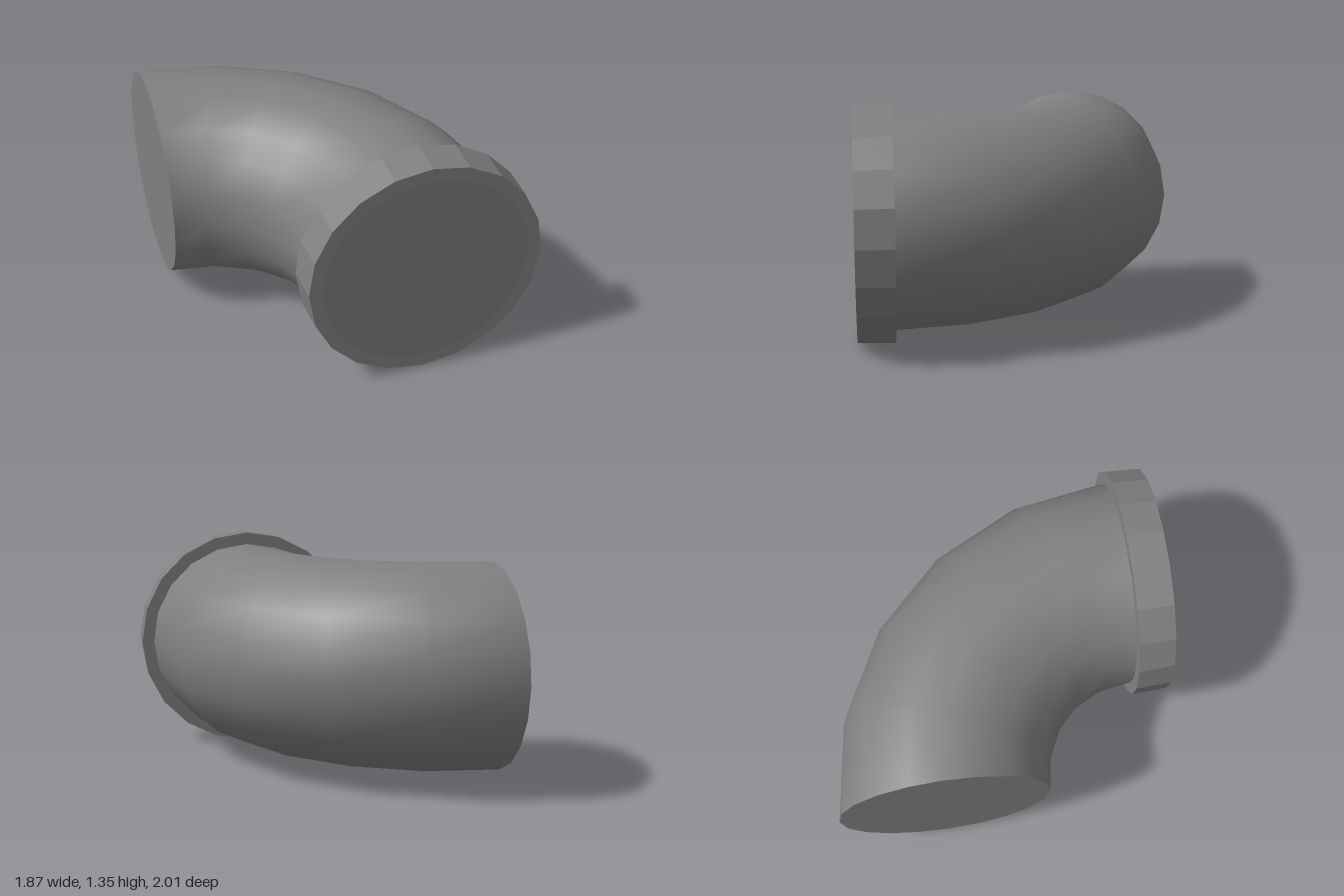
import * as THREE from 'three';

export function createModel() {
  const model = new THREE.Group();
  const pipeGrey = new THREE.MeshStandardMaterial({ color: 0x808080 });
  pipeGrey.name = 'pipe grey';
  const plugGrey = new THREE.MeshStandardMaterial({ color: 0x7b7b7b });
  plugGrey.name = 'plug grey';

  const sides = 20, bend = 1.195, pipeR = 0.6, midY = 0.673;
  const cornerX = -0.935, mouthX = cornerX + bend, collarZ = 0.79;

  const add = (name, geometry, material, x, y, z) => {
    const mesh = new THREE.Mesh(geometry, material);
    mesh.name = name;
    mesh.position.set(x, y, z);
    model.add(mesh);
  };

  // Smooth quarter bend in five coarse segments
  const elbow = new THREE.TorusGeometry(bend, pipeR, sides, 5, Math.PI / 2).rotateX(-Math.PI / 2);
  add('elbowPipe', elbow, pipeGrey, cornerX, midY, collarZ);

  // Flat end closing the plain side of the pipe
  const end = new THREE.CircleGeometry(pipeR, sides).rotateY(-Math.PI / 2);
  add('pipeEnd', end, pipeGrey, cornerX, midY, collarZ - bend);

  // Faceted collar, slightly narrower at its front
  const wall = new THREE.CylinderGeometry(0.663, 0.673, 0.21, sides, 1, true)
    .rotateX(Math.PI / 2).toNonIndexed();
  wall.computeVertexNormals();
  add('collarWall', wall, pipeGrey, mouthX, midY, collarZ + 0.105);

  // Collar faces, front and back
  add('collarRim', new THREE.RingGeometry(0.59, 0.663, sides), pipeGrey, mouthX, midY, 1);
  add('collarBack', new THREE.RingGeometry(0.59, 0.673, sides).rotateY(Math.PI), pipeGrey, mouthX, midY, collarZ);

  // Disc closing the collar
  add('collarPlug', new THREE.CircleGeometry(0.59, sides), plugGrey, mouthX, midY, 1);

  return model;
}
